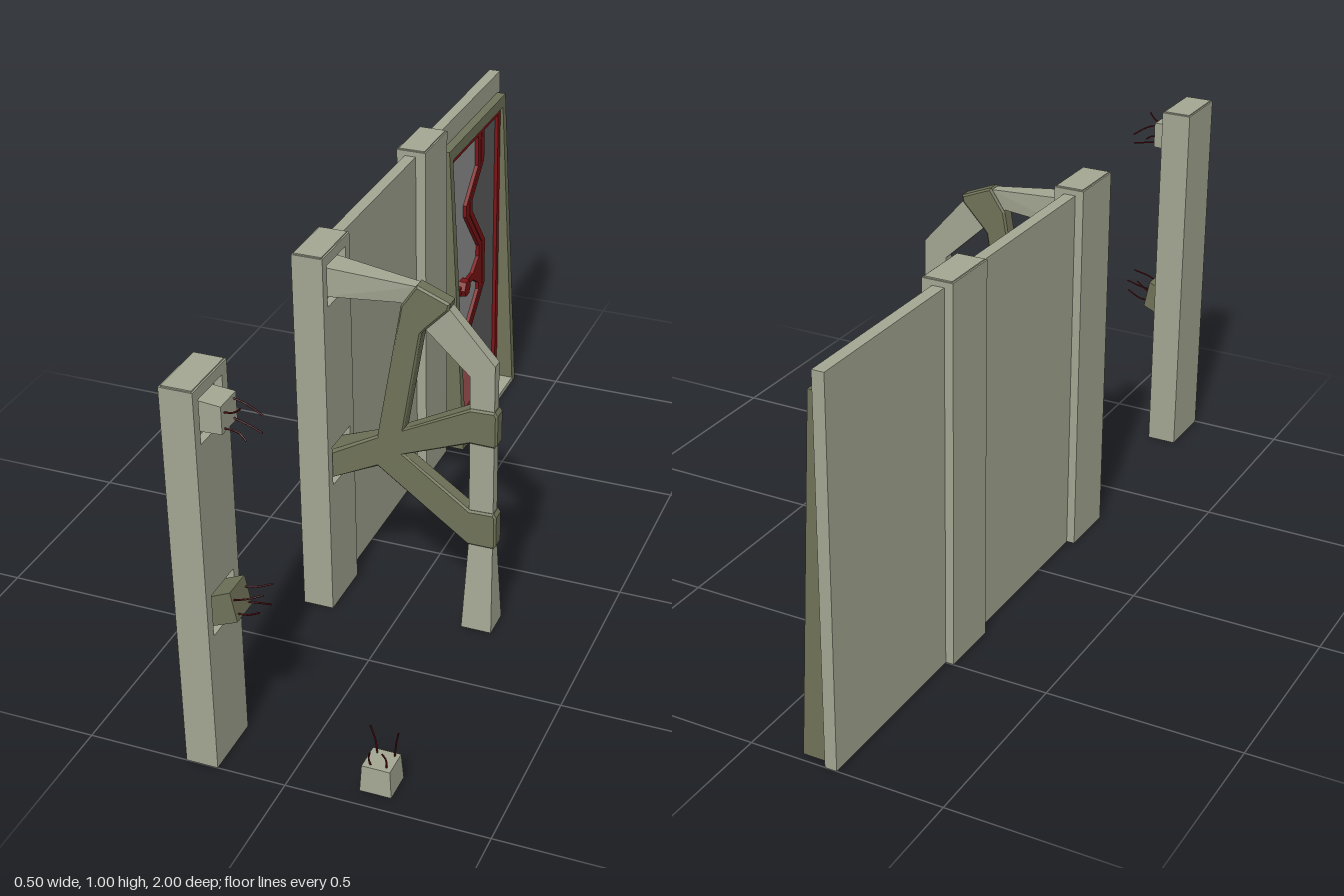
import * as THREE from 'three';

const mat = (color, extra = {}) =>
  new THREE.MeshStandardMaterial({ color, flatShading: true, side: THREE.DoubleSide, ...extra });

export function createModel() {
  const root = new THREE.Group();
  const light = mat(0xa3a692), dark = mat(0x6f7258), red = mat(0x7c1416);
  const paneGrey = mat(0x949494), paneDark = mat(0x5e5e5e), panePink = mat(0xb05558);
  const wireMat = mat(0x5a1214);

  const add = (name, geo, material, parent = root) => {
    const m = new THREE.Mesh(geo, material);
    m.name = name;
    parent.add(m);
    return m;
  };
  const group = (name) => {
    const g = new THREE.Group();
    g.name = name;
    root.add(g);
    return g;
  };
  const shapeOf = (pts) => new THREE.Shape(pts.map((p) => new THREE.Vector2(p[0], p[1])));
  const rect = (a, b, c, d) => [[a, b], [c, b], [c, d], [a, d]];

  // Removes the faces lying on the ground, leaving a hollow shell
  const openBottom = (geo) => {
    const g = geo.index ? geo.toNonIndexed() : geo;
    const p = g.attributes.position.array, out = [];
    for (let i = 0; i < p.length; i += 9) {
      if (Math.max(p[i + 1], p[i + 4], p[i + 7]) > 0.002) out.push(...p.slice(i, i + 9));
    }
    const r = new THREE.BufferGeometry();
    r.setAttribute('position', new THREE.Float32BufferAttribute(out, 3));
    r.computeVertexNormals();
    return r;
  };
  const box = (x0, x1, y0, y1, z0, z1) =>
    new THREE.BoxGeometry(x1 - x0, y1 - y0, z1 - z0).translate((x0 + x1) / 2, (y0 + y1) / 2, (z0 + z1) / 2);

  // Outline in (-z, y), raised towards +x from x0 to x1
  const relief = (pts, x0, x1, holes = []) => {
    const s = shapeOf(pts);
    holes.forEach((h) => s.holes.push(shapeOf(h)));
    return new THREE.ExtrudeGeometry(s, { depth: x1 - x0, bevelEnabled: false })
      .rotateY(Math.PI / 2).translate(x0, 0, 0);
  };

  // Pillars; the first two have square sockets in their inner face
  const pillar = (name, zc, sockets) => {
    const g = group(name), h = 0.081, u = -zc;
    const holes = sockets ? [0.915, 0.415].map((y) => rect(u - 0.056, y - 0.055, u + 0.056, y + 0.055)) : [];
    add('pillarCore', openBottom(box(-0.25, -0.19, 0, 0.997, zc - h, zc + h)), light, g);
    add('pillarFace', openBottom(relief(rect(u - h, 0, u + h, 0.997), -0.19, -0.17, holes)), light, g);
    add('pillarCap', box(-0.246, -0.174, 0.997, 1, zc - h + 0.004, zc + h - 0.004), light, g);
  };
  pillar('brokenPillar', 0.919, true);
  pillar('archPillar', 0.249, true);
  pillar('doorPillar', -0.418, false);

  // Wall panels between and behind the pillars
  add('wallPanel', openBottom(box(-0.228, -0.197, 0, 0.983, -0.418, 0.249)), light);
  add('doorWall', openBottom(box(-0.228, -0.197, 0, 0.983, -1, -0.418)), light);

  // Arch: outlines in (x, y), widened in z by a rule
  const zc = 0.247;
  const flared = (pts, depth, bevel, flare) => {
    const geo = new THREE.ExtrudeGeometry(shapeOf(pts), {
      depth: depth - 2 * bevel, bevelEnabled: bevel > 0, bevelSegments: 1,
      bevelSize: bevel, bevelThickness: bevel, bevelOffset: -bevel,
    }).translate(0, 0, bevel - depth / 2);
    const p = geo.attributes.position;
    for (let i = 0; i < p.count; i++) p.setZ(i, p.getZ(i) * flare(p.getX(i), p.getY(i)));
    return geo.translate(0, 0, zc);
  };
  const ramp = (v, from, to, k) => 1 + k * THREE.MathUtils.clamp((v - from) / (to - from), 0, 1);
  const arch = group('arch');
  add('archBand', flared([
    [-0.185, 0.953], [0.04, 0.932], [0.118, 0.893], [0.238, 0.755], [0.238, 0.24],
    [0.175, 0.24], [0.175, 0.717], [0.065, 0.82], [0, 0.883], [-0.185, 0.876],
  ], 0.03, 0, (x) => ramp(x, 0, -0.17, 1.5)), light, arch);
  add('archLeg', openBottom(flared([[0.175, 0.25], [0.165, 0], [0.245, 0], [0.238, 0.25]],
    0.032, 0, (x, y) => ramp(y, 0.25, 0, 1.5))), light, arch);
  add('archBracing', flared([
    [-0.185, 0.448], [-0.065, 0.505], [0, 0.877], [0.041, 0.937], [0.125, 0.903], [0.122, 0.885],
    [0.062, 0.822], [0.052, 0.81], [0.005, 0.538], [0.178, 0.63], [0.24, 0.632], [0.247, 0.622],
    [0.247, 0.542], [0.24, 0.532], [0.178, 0.533], [0.005, 0.465], [0.178, 0.341], [0.24, 0.343],
    [0.247, 0.333], [0.247, 0.25], [0.24, 0.24], [0.172, 0.24], [-0.065, 0.417], [-0.185, 0.37],
  ], 0.042, 0.005, (x) => ramp(x, -0.06, -0.17, 1.4)), dark, arch);

  // Broken-off stubs facing the missing arch
  const zb = 0.917;
  const stub = (name, pts, half, material) => add(name,
    openBottom(new THREE.ExtrudeGeometry(shapeOf(pts), { depth: half * 2, bevelEnabled: false })
      .translate(0, 0, zb - half)), material);
  stub('upperStub', [[-0.195, 0.877], [-0.13, 0.88], [-0.13, 0.948], [-0.195, 0.954]], 0.037, light);
  stub('lowerStub', [[-0.195, 0.365], [-0.12, 0.396], [-0.135, 0.472], [-0.195, 0.445]], 0.038, dark);
  const foot = new THREE.CylinderGeometry(0.049, 0.055, 0.07, 4).rotateY(Math.PI / 4).translate(0.205, 0.035, zb);
  add('footStub', openBottom(foot), light);

  // Torn wires: paths of x, y and z offset
  const wires = group('wires');
  [
    [[-0.14, 0.925, 0.02], [-0.105, 0.935, 0.028], [-0.085, 0.952, 0.035]],
    [[-0.14, 0.94, -0.022], [-0.105, 0.93, -0.025], [-0.065, 0.904, -0.03]],
    [[-0.14, 0.889, 0.022], [-0.095, 0.886, 0.026], [-0.077, 0.873, 0.032]],
    [[-0.14, 0.892, -0.022], [-0.09, 0.88, -0.018], [-0.06, 0.872, -0.012]],
    [[-0.14, 0.445, 0.028], [-0.1, 0.46, 0.032], [-0.06, 0.474, 0.022]],
    [[-0.14, 0.445, -0.028], [-0.1, 0.452, -0.032], [-0.065, 0.465, -0.038]],
    [[-0.14, 0.41, 0.025], [-0.1, 0.415, 0.028], [-0.065, 0.435, 0.035]],
    [[-0.14, 0.407, -0.025], [-0.1, 0.412, -0.026], [-0.06, 0.425, -0.015]],
    [[0.188, 0.06, -0.02], [0.182, 0.1, -0.024], [0.172, 0.147, -0.018]],
    [[0.19, 0.06, 0.022], [0.185, 0.09, 0.026], [0.19, 0.11, 0.03]],
    [[0.228, 0.06, -0.022], [0.232, 0.11, -0.026], [0.24, 0.142, -0.02]],
    [[0.227, 0.06, 0.022], [0.224, 0.09, 0.018], [0.216, 0.107, 0.022]],
  ].forEach((path) => {
    const curve = new THREE.CatmullRomCurve3(path.map(([x, y, z]) => new THREE.Vector3(x, y, zb + z)));
    add('wire', new THREE.TubeGeometry(curve, 6, 0.0022, 5), wireMat, wires);
  });

  // Door surround, deeper towards the ground
  const surround = group('doorSurround');
  const front = (y) => -0.127 - 0.045 * (y / 0.925);
  const slanted = (y0, y1, z0, z1) => new THREE.ExtrudeGeometry(
    shapeOf([[-0.197, y0], [front(y0), y0], [front(y1), y1], [-0.197, y1]]),
    { depth: z1 - z0, bevelEnabled: false }).translate(0, 0, z0);
  add('jamb', slanted(0, 0.925, -0.547, -0.522), dark, surround);
  add('jamb', slanted(0, 0.925, -0.979, -0.954), dark, surround);
  add('lintel', slanted(0.893, 0.925, -0.954, -0.547), dark, surround);
  add('sill', slanted(0, 0.013, -0.954, -0.547), light, surround);

  // Door leaves split by a zigzag
  const door = group('door');
  const zig = [[0.794, 0.893], [0.794, 0.785], [0.7, 0.7], [0.7, 0.665], [0.808, 0.53],
    [0.808, 0.39], [0.705, 0.3], [0.705, 0.23], [0.802, 0.13], [0.802, 0.013]];
  const upper = zig.slice(0, 8), lower = zig.slice(7);
  const x0 = -0.197, xPane = -0.188, xRail = -0.178;
  add('upperPane', relief([...upper, [0.547, 0.23], [0.547, 0.893]], x0, xPane), paneGrey, door);
  add('lowerPane', relief([...lower, [0.547, 0.013], [0.547, 0.23]], x0, xPane), panePink, door);
  add('sidePane', relief([...zig, [0.954, 0.013], [0.954, 0.893]], x0, xPane), paneDark, door);

  // Zigzag rails with a narrow seam
  [[-0.025, -0.002], [0.002, 0.025]].forEach(([a, b]) => {
    const edge = (d) => zig.map(([u, y]) => [u + d, y]);
    add('zigzagRail', relief([...edge(a), ...edge(b).reverse()], x0, xRail), red, door);
  });

  // Straight rails, crossbar and latch
  [
    [0.547, 0.013, 0.567, 0.893], [0.935, 0.013, 0.954, 0.893],
    [0.567, 0.875, 0.935, 0.893], [0.567, 0.013, 0.935, 0.031],
    [0.567, 0.233, 0.69, 0.251], [0.567, 0.207, 0.7, 0.227], [0.567, 0.442, 0.79, 0.464],
  ].forEach((r) => add('rail', relief(rect(...r), x0, xRail), red, door));
  add('latchPlate', relief([[0.735, 0.464], [0.79, 0.5], [0.79, 0.406], [0.735, 0.442]], x0, xRail), red, door);
  add('latch', new THREE.CylinderGeometry(0.025, 0.028, 0.03, 6).rotateZ(-Math.PI / 2)
    .translate(-0.182, 0.453, -0.66), red, door);

  return root;
}
